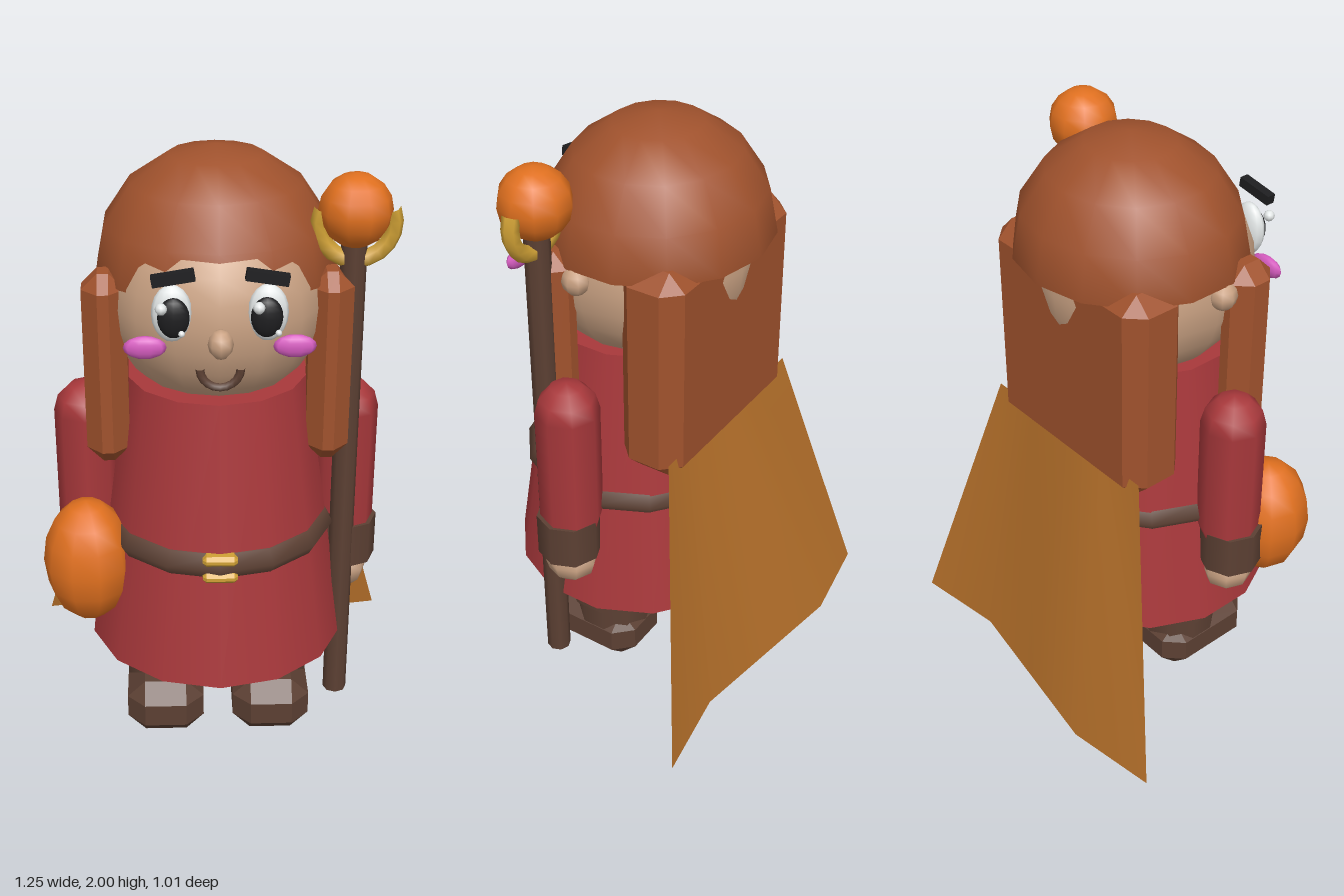
import * as THREE from 'three';
import { ConvexGeometry } from 'three/addons/geometries/ConvexGeometry.js';

const mat = (name, color, extra = {}) => {
  const m = new THREE.MeshStandardMaterial({ color, ...extra });
  m.name = name;
  return m;
};

// Box with all edges and corners cut by c
function chamferBox(w, h, d, c) {
  const pts = [];
  for (const x of [-1, 1]) for (const y of [-1, 1]) for (const z of [-1, 1]) {
    const a = w / 2, b = h / 2, e = d / 2;
    pts.push(
      new THREE.Vector3(x * a, y * (b - c), z * (e - c)),
      new THREE.Vector3(x * (a - c), y * b, z * (e - c)),
      new THREE.Vector3(x * (a - c), y * (b - c), z * e));
  }
  return new ConvexGeometry(pts);
}

export function createModel() {
  const model = new THREE.Group();
  const hair = mat('hair brown', 0xa0522d, { side: THREE.DoubleSide });
  const skin = mat('skin', 0xcaa283);
  const red = mat('tunic red', 0xa8383b);
  const brown = mat('leather brown', 0x5c4033);
  const orange = mat('orange', 0xe0701f);
  const cloth = mat('cape ochre', 0xb5702a, { side: THREE.DoubleSide });
  const gold = mat('gold', 0xcfa035);
  const black = mat('black', 0x1e1e20);
  const white = mat('eye white', 0xe6eaea);
  const pink = mat('blush pink', 0xd65cc0);

  const add = (name, geo, material, x, y, z) => {
    const m = new THREE.Mesh(geo, material);
    m.name = name;
    m.position.set(x, y, z);
    model.add(m);
    return m;
  };
  const ball = (name, material, x, y, z, rx, ry = rx, rz = rx, seg = 10) => {
    const m = add(name, new THREE.SphereGeometry(1, seg, Math.max(6, seg - 2)), material, x, y, z);
    m.scale.set(rx, ry, rz);
    return m;
  };

  // Tunic and belt
  add('tunic', new THREE.CylinderGeometry(0.29, 0.43, 0.94, 14), red, 0, 0.83, 0.075);
  const belt = add('belt', new THREE.TorusGeometry(0.335, 0.053, 6, 14), brown, 0, 0.775, 0.08);
  belt.rotation.set(Math.PI / 2, 0, Math.PI / 2, 'XYZ');
  for (const y of [0.805, 0.745]) {
    add('buckleBar', chamferBox(0.11, 0.035, 0.05, 0.012), gold, 0, y, 0.44);
  }

  // Head and hair
  ball('head', skin, 0, 1.55, 0.053, 0.35, 0.35, 0.35, 16);
  const cap = add('hairCap',
    new THREE.SphereGeometry(1, 14, 4, 0, Math.PI * 2, 0, Math.PI / 2).rotateY(Math.PI / 2),
    hair, 0, 1.62, 0.004);
  cap.scale.set(0.38, 0.38, 0.362);
  add('backHair', chamferBox(0.7, 0.73, 0.22, 0.055), hair, 0, 1.305, -0.17);

  // Face centre
  ball('nose', skin, 0, 1.535, 0.445, 0.038, 0.045, 0.04, 8);
  const mouth = add('mouth', new THREE.TorusGeometry(0.06, 0.013, 6, 10, Math.PI), brown, 0, 1.445, 0.415);
  mouth.rotation.z = Math.PI;

  for (const s of [-1, 1]) {
    // Face sides
    ball('eye', white, s * 0.14, 1.605, 0.375, 0.06, 0.088, 0.033, 12);
    ball('pupil', black, s * 0.135, 1.6, 0.4, 0.047, 0.062, 0.025, 12);
    ball('eyeGlint', white, s * 0.14 - 0.03, 1.64, 0.43, 0.018, 0.018, 0.018, 8);
    ball('smallGlint', white, s * 0.14 + 0.028, 1.56, 0.425, 0.01, 0.01, 0.01, 8);
    const brow = add('eyebrow', new THREE.BoxGeometry(0.125, 0.032, 0.03), black, s * 0.135, 1.725, 0.405);
    brow.rotation.z = -s * 0.16;
    ball('cheek', pink, s * 0.22, 1.5, 0.38, 0.064, 0.036, 0.02, 10);
    ball('ear', skin, s * 0.35, 1.58, 0.065, 0.045, 0.048, 0.045, 8);
    add('frontLock', chamferBox(0.135, 0.63, 0.16, 0.05), hair, s * 0.345, 1.345, 0.165);

    // Arms
    add('sleeve', new THREE.CapsuleGeometry(0.103, 0.4, 3, 8), red, s * 0.42, 0.95, 0.065);
    add('cuff', new THREE.CylinderGeometry(0.105, 0.105, 0.15, 8), brown, s * 0.43, 0.675, 0.07);
    ball('hand', skin, s * 0.425, 0.56, 0.07, 0.085, 0.085, 0.09, 8);

    // Legs and shoes
    add('leg', new THREE.CylinderGeometry(0.135, 0.135, 0.3, 10), brown, s * 0.18, 0.26, 0.075);
    add('bootCuff', new THREE.CylinderGeometry(0.162, 0.162, 0.1, 10), brown, s * 0.18, 0.295, 0.075);
    add('shoe', chamferBox(0.26, 0.2, 0.37, 0.06), brown, s * 0.18, 0.1, 0.125);
  }

  // Cape: tapered sheet with a wavy hem
  const cape = new THREE.PlaneGeometry(1, 1, 4, 1);
  const p = cape.attributes.position;
  for (let i = 0; i < p.count; i++) {
    const u = p.getX(i), t = 0.5 - p.getY(i);
    p.setXYZ(i, u * (0.71 + 0.54 * t), 1.03 - 0.99 * t,
      -0.265 + t * (-0.193 + 0.048 * Math.sin(u * Math.PI * 2)));
  }
  cape.computeVertexNormals();
  add('cape', cape, cloth, 0, 0, 0);

  // Staff with crescent and orb
  add('staff', new THREE.CylinderGeometry(0.04, 0.04, 1.65, 8), brown, 0.41, 0.925, 0.155);
  const crescent = add('crescent', new THREE.TorusGeometry(0.113, 0.027, 6, 12, Math.PI * 1.25), gold,
    0.415, 1.795, 0.155);
  crescent.rotation.z = Math.PI * 0.875;
  ball('staffOrb', orange, 0.41, 1.838, 0.155, 0.113, 0.113, 0.113, 10);

  // Round bag at the right hand
  ball('bag', orange, -0.423, 0.69, 0.235, 0.145, 0.215, 0.148, 10);

  return model;
}
